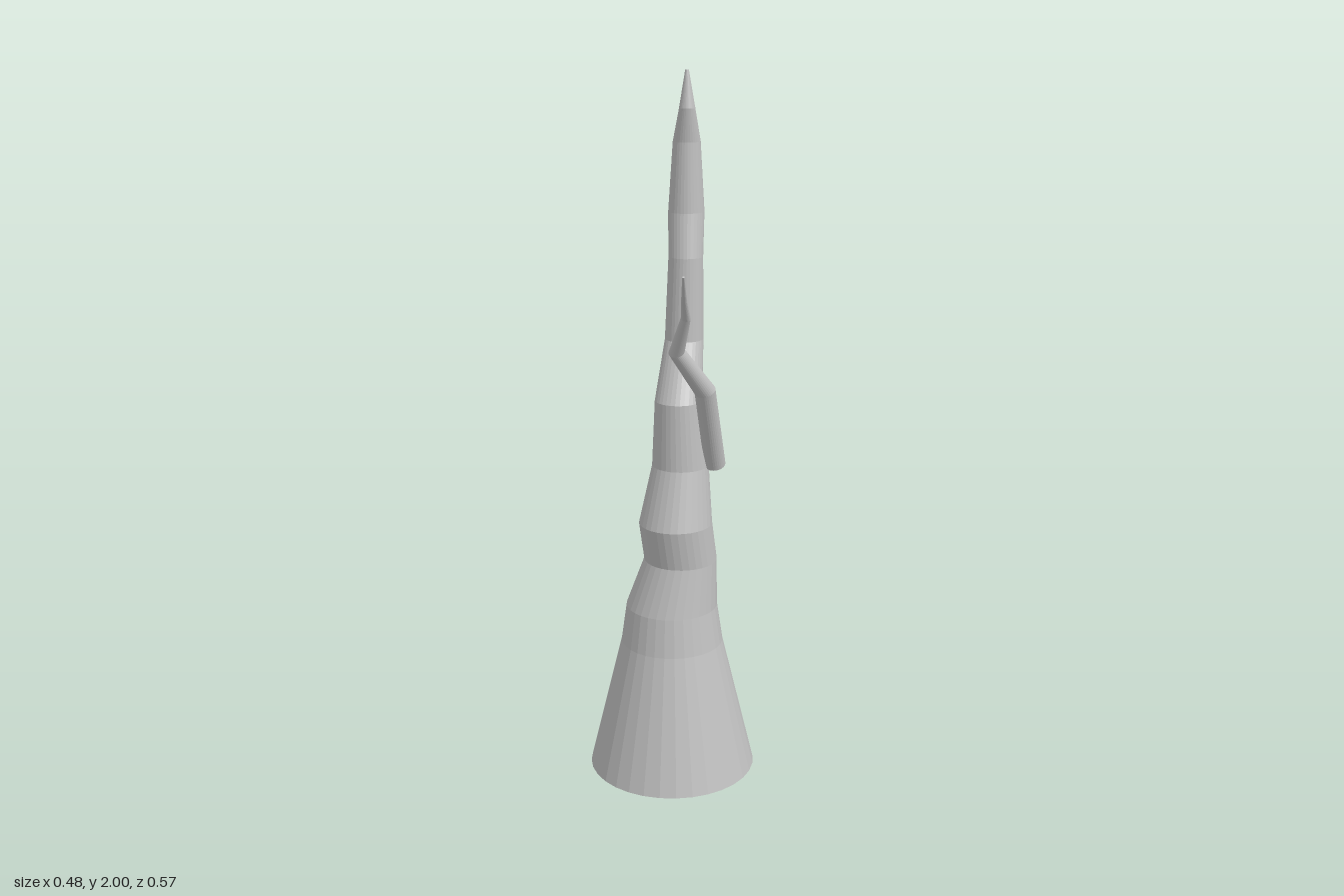
import * as THREE from 'three';

const UP = new THREE.Vector3(0, 1, 0);

// Lofts round rings [x, y, z, radius] into a capped, faceted limb.
function limb(name, rings, sides, tilted, material) {
  const centres = rings.map(r => new THREE.Vector3(r[0], r[1], r[2]));
  const last = rings.length - 1;
  const positions = [], index = [];
  rings.forEach((ring, i) => {
    const q = new THREE.Quaternion();
    if (tilted) {
      const along = centres[Math.min(i + 1, last)].clone().sub(centres[Math.max(i - 1, 0)]).normalize();
      q.setFromUnitVectors(UP, along);
    }
    for (let s = 0; s < sides; s++) {
      const a = (s / sides) * Math.PI * 2;
      const p = new THREE.Vector3(Math.sin(a), 0, Math.cos(a))
        .multiplyScalar(ring[3]).applyQuaternion(q).add(centres[i]);
      positions.push(p.x, p.y, p.z);
    }
  });
  // Side walls
  for (let i = 0; i < last; i++) {
    for (let s = 0; s < sides; s++) {
      const a = i * sides + s, b = i * sides + (s + 1) % sides;
      index.push(a, b, b + sides, a, b + sides, a + sides);
    }
  }
  // End caps
  const bottom = positions.length / 3, top = bottom + 1, t = last * sides;
  positions.push(...centres[0].toArray(), ...centres[last].toArray());
  for (let s = 0; s < sides; s++) {
    const n = (s + 1) % sides;
    index.push(bottom, n, s, top, t + s, t + n);
  }
  const indexed = new THREE.BufferGeometry();
  indexed.setAttribute('position', new THREE.Float32BufferAttribute(positions, 3));
  indexed.setIndex(index);
  const geometry = indexed.toNonIndexed();
  geometry.computeVertexNormals();
  const mesh = new THREE.Mesh(geometry, material);
  mesh.name = name;
  return mesh;
}

export function createModel() {
  const bark = new THREE.MeshStandardMaterial({ color: 0xc0c0c0 });
  bark.name = 'grey bark';

  const group = new THREE.Group();
  group.name = 'bareTree';

  // Flared trunk winding up to a point
  group.add(limb('trunk', [
    [0, 0, -0.042, 0.241],
    [0, 0.39, -0.042, 0.147],
    [0, 0.5, -0.043, 0.131],
    [0.023, 0.64, -0.033, 0.104],
    [0.003, 0.755, -0.024, 0.104],
    [0.025, 0.92, -0.038, 0.08],
    [0.016, 1.11, -0.032, 0.066],
    [0.06, 1.27, -0.087, 0.054],
    [0.066, 1.5, -0.09, 0.048],
    [0.078, 1.62, -0.112, 0.05],
    [0.077, 1.81, -0.108, 0.038],
    [0.066, 1.9, -0.083, 0.022],
    [0.066, 2, -0.084, 0.005],
  ], 32, false, bark));

  // Thin crooked side branch
  group.add(limb('branch', [
    [0.107, 0.925, 0.015, 0.03],
    [0.035, 1.165, 0.095, 0.029],
    [-0.065, 1.29, 0.127, 0.022],
    [-0.072, 1.395, 0.197, 0.013],
    [-0.095, 1.45, 0.235, 0.008],
    [-0.12, 1.52, 0.282, 0.003],
  ], 32, true, bark));

  return group;
}
